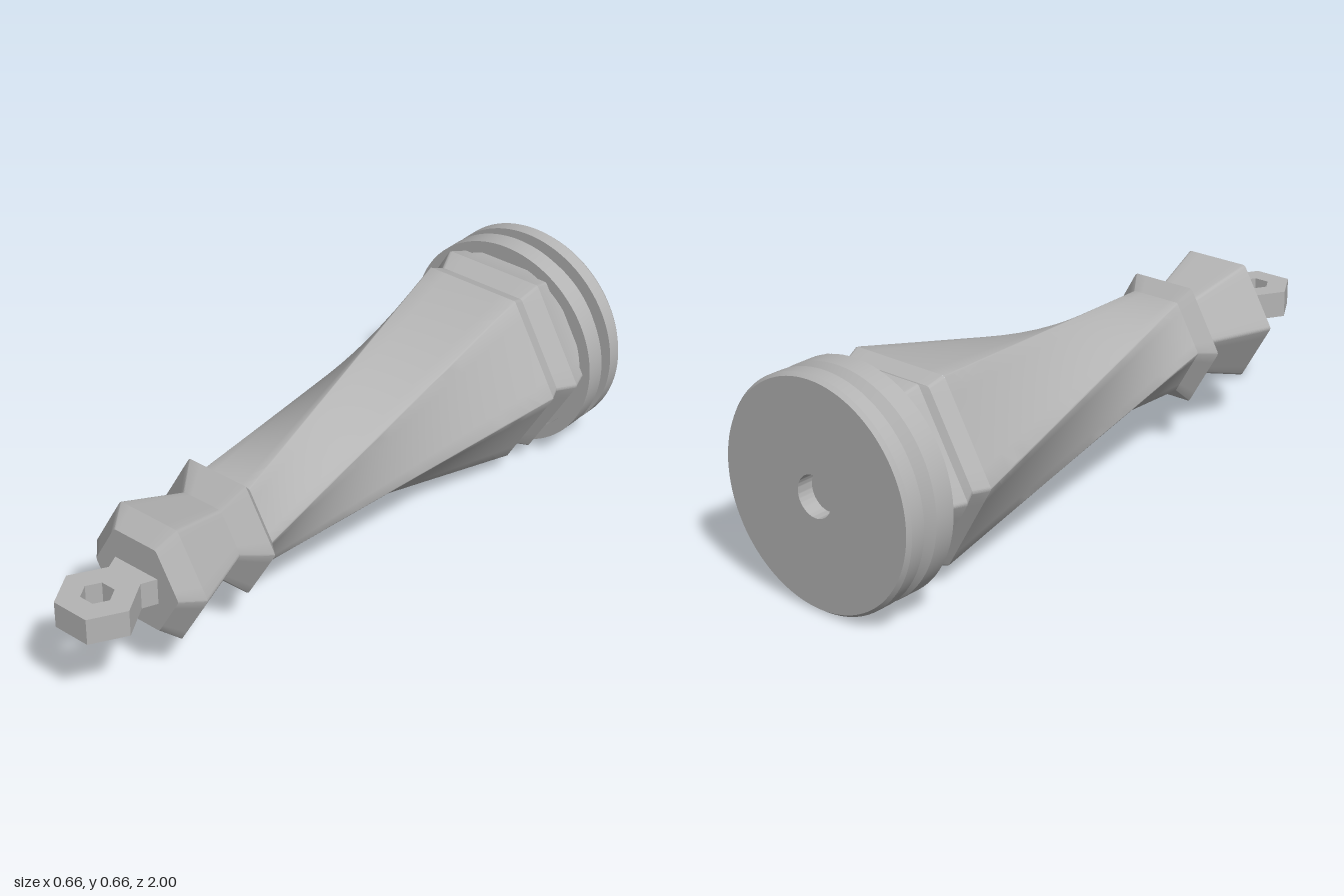
import * as THREE from 'three';
import { toCreasedNormals } from 'three/addons/utils/BufferGeometryUtils.js';

const AXIS_Y = 0.33;
const HEX = Math.PI / 3;

// Hexagon ring with slightly rounded corners; a = apothem, turn = rotation about z
function hexRing(a, z, turn = 0, r = 0.013, flats = 6) {
  const pts = [];
  const c = (a - r) / Math.cos(Math.PI / 6);
  for (let k = 0; k < 6; k++) {
    const base = k * HEX + turn;
    for (let s = 0; s <= 4; s++) {
      const t = base + (s / 4 - 0.5) * HEX;
      pts.push(new THREE.Vector3(
        c * Math.cos(base) + r * Math.cos(t), c * Math.sin(base) + r * Math.sin(t), z));
    }
    // points along the flat towards the next corner
    const from = pts[pts.length - 1];
    const n = base + HEX, t = n - HEX / 2;
    const to = new THREE.Vector3(
      c * Math.cos(n) + r * Math.cos(t), c * Math.sin(n) + r * Math.sin(t), z);
    for (let s = 1; s < flats; s++) pts.push(from.clone().lerp(to, s / flats));
  }
  return pts;
}

// Skin a list of rings ordered from back to front, with an optional front cap
function loft(rings, cap, crease) {
  const n = rings[0].length, pos = [], idx = [];
  rings.forEach((ring) => ring.forEach((p) => pos.push(p.x, p.y, p.z)));
  for (let j = 0; j < rings.length - 1; j++) {
    for (let i = 0; i < n; i++) {
      const a = j * n + i, b = j * n + (i + 1) % n;
      idx.push(a, b, b + n, a, b + n, a + n);
    }
  }
  if (cap) {
    const first = (rings.length - 1) * n;
    pos.push(0, 0, rings[rings.length - 1][0].z);
    for (let i = 0; i < n; i++) idx.push(first + i, first + (i + 1) % n, rings.length * n);
  }
  const g = new THREE.BufferGeometry();
  g.setAttribute('position', new THREE.Float32BufferAttribute(pos, 3));
  g.setIndex(idx);
  return toCreasedNormals(g, crease);
}

export function createModel() {
  const group = new THREE.Group();
  const grey = new THREE.MeshStandardMaterial({ color: 0xb4b4b4 });
  grey.name = 'grey';

  const add = (name, geometry) => {
    const mesh = new THREE.Mesh(geometry, grey);
    mesh.name = name;
    mesh.position.y = AXIS_Y;
    group.add(mesh);
  };
  const profile = (list) => list.map(([z, a]) => hexRing(a, z));

  // Round grooved base with a blind hole in its back
  const base = new THREE.LatheGeometry([
    [0, -0.95], [0.06, -0.95], [0.06, -1], [0.321, -1], [0.33, -0.988], [0.33, -0.945],
    [0.29, -0.945], [0.29, -0.935], [0.33, -0.9], [0.33, -0.838],
    [0.293, -0.838], [0.293, -0.865], [0, -0.865],
  ].map(([r, z]) => new THREE.Vector2(r, z)), 96);
  base.rotateX(Math.PI / 2);
  add('base', toCreasedNormals(base, 0.4));

  // Hexagonal collar in front of the base
  add('rearCollar', loft(profile([
    [-0.87, 0.262], [-0.834, 0.266], [-0.78, 0.283], [-0.725, 0.254], [-0.678, 0.272],
  ]), true, 0.3));

  // Tapered shaft that twists by one sixth of a turn along straight edges
  const rear = hexRing(0.272, -0.678, 0, 0.008);
  const front = hexRing(0.139, 0.4, -HEX, 0.008);
  const steps = 24, shaft = [];
  for (let j = 0; j <= steps; j++) {
    shaft.push(rear.map((p, i) => p.clone().lerp(front[i], j / steps)));
  }
  add('twistedShaft', loft(shaft, false, 0.4));

  // Front collar and flared head
  add('head', loft(profile([
    [0.4, 0.137], [0.4, 0.139], [0.438, 0.178], [0.5, 0.117], [0.702, 0.178], [0.757, 0.131],
  ]), true, 0.3));

  // Flat hexagonal eyelet on a flared neck
  const hexPoint = (r, k) => new THREE.Vector2(r * Math.cos(k * HEX), 0.9 + r * Math.sin(k * HEX));
  const outline = [5, 0, 1, 2, 3, 4].map((k) => hexPoint(0.1155, k));
  outline.push(new THREE.Vector2(-0.08, 0.75), new THREE.Vector2(0.08, 0.75));
  const shape = new THREE.Shape(outline);
  shape.holes.push(new THREE.Path([0, 1, 2, 3, 4, 5].map((k) => hexPoint(0.046, k))));
  const eyelet = new THREE.ExtrudeGeometry(shape, { depth: 0.08, bevelEnabled: false });
  eyelet.translate(0, 0, -0.04);
  eyelet.rotateX(Math.PI / 2);
  add('eyelet', eyelet);

  return group;
}
